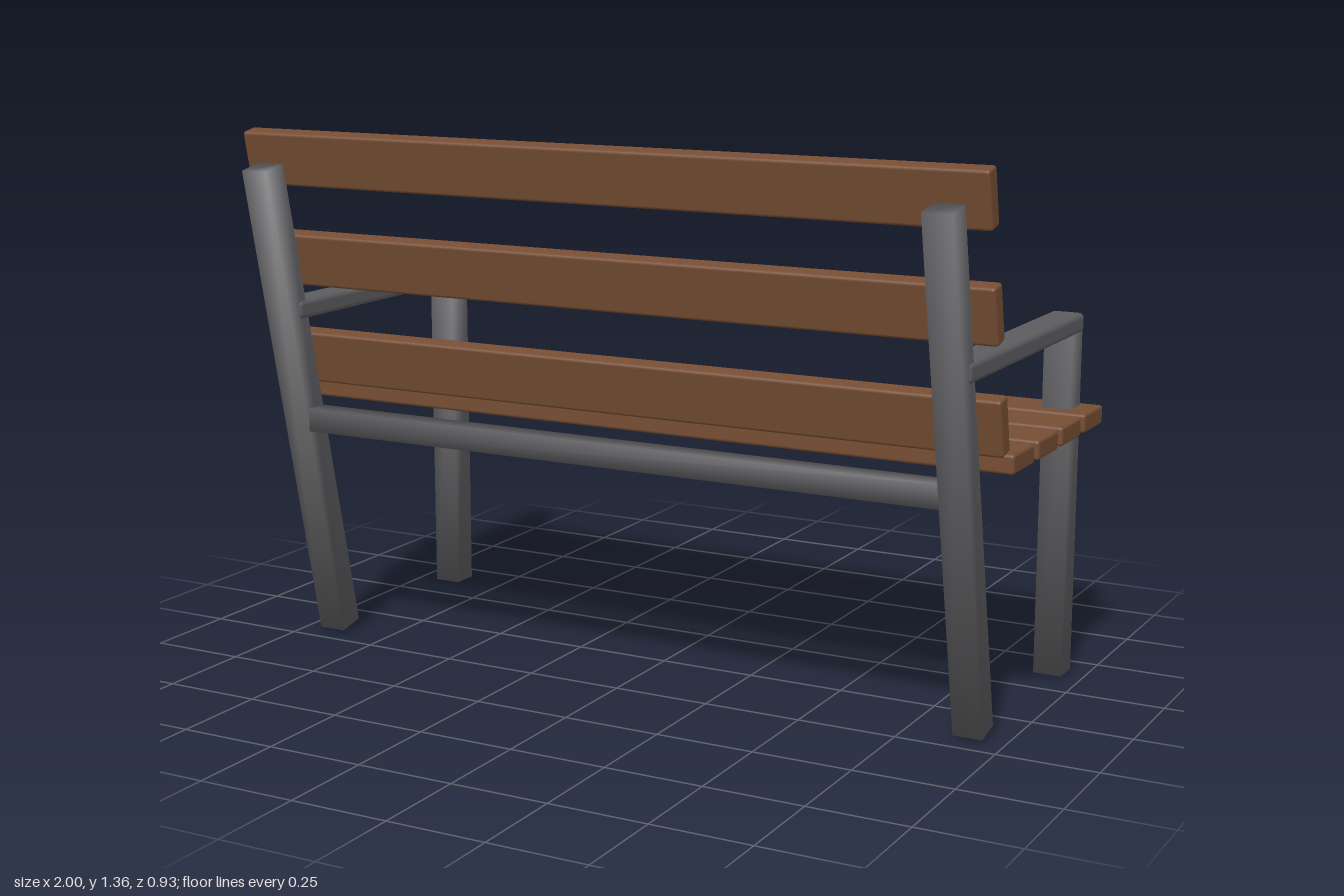
import * as THREE from 'three';
import { RoundedBoxGeometry } from 'three/addons/geometries/RoundedBoxGeometry.js';

const TILT = 0.21; // backward lean of the rear posts and back slats

// Box with soft shading: every corner normal points out along its diagonal
function softBox(w, h, d) {
  const geometry = new THREE.BoxGeometry(w, h, d);
  const p = geometry.attributes.position;
  const n = new THREE.Vector3();
  for (let i = 0; i < p.count; i++) {
    n.set(Math.sign(p.getX(i)), Math.sign(p.getY(i)), Math.sign(p.getZ(i))).normalize();
    geometry.attributes.normal.setXYZ(i, n.x, n.y, n.z);
  }
  return geometry;
}

export function createModel() {
  const bench = new THREE.Group();
  bench.name = 'bench';
  const wood = new THREE.MeshStandardMaterial({ color: 0x754d33 });
  wood.name = 'brown wood';
  const metal = new THREE.MeshStandardMaterial({ color: 0x5c5c5f });
  metal.name = 'dark grey metal';

  const add = (name, geometry, material, x, y, z, tilt = 0) => {
    const mesh = new THREE.Mesh(geometry, material);
    mesh.name = name;
    mesh.position.set(x, y, z);
    mesh.rotation.x = tilt;
    bench.add(mesh);
  };

  // Seat slats
  const seatSlat = new RoundedBoxGeometry(2, 0.048, 0.14, 2, 0.008);
  for (let i = 0; i < 4; i++) add('seatSlat' + (i + 1), seatSlat, wood, 0, 0.668, -0.392 + i * 0.168);

  // Back slats, leaning with the rear posts
  const backSlat = new RoundedBoxGeometry(2, 0.138, 0.048, 2, 0.008);
  for (let i = 0; i < 3; i++) {
    add('backSlat' + (i + 1), backSlat, wood, 0, 0.77 + i * 0.262, 0.245 + i * 0.0555, TILT);
  }

  // Legs and armrests on both sides
  const frontLeg = softBox(0.074, 0.89, 0.072);
  const rearPost = softBox(0.074, 1.288, 0.072);
  const armrest = new RoundedBoxGeometry(0.086, 0.05, 0.785, 2, 0.014);
  for (const [side, x] of [['left', 0.911], ['right', -0.911]]) {
    add(side + 'FrontLeg', frontLeg, metal, x, 0.445, -0.4);
    add(side + 'RearPost', rearPost, metal, x, 0.645, 0.296, TILT);
    add(side + 'Armrest', armrest, metal, x, 0.902, -0.043);
  }

  // Crossbars between the legs
  const crossbar = softBox(1.78, 0.06, 0.06);
  add('frontCrossbar', crossbar, metal, 0, 0.61, -0.4);
  add('rearCrossbar', crossbar, metal, 0, 0.61, 0.289);

  return bench;
}
